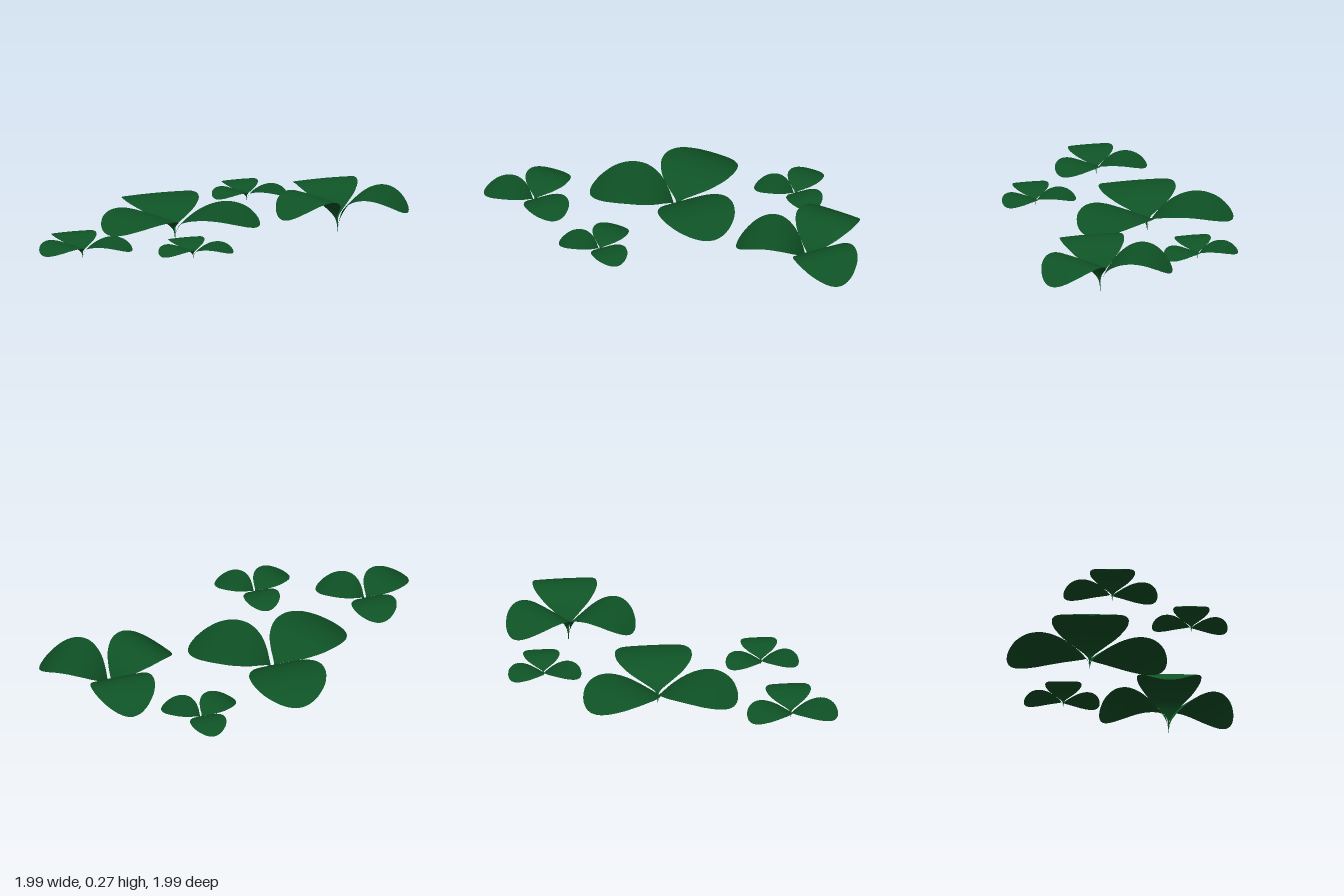
import * as THREE from 'three';

const green = new THREE.MeshStandardMaterial({ color: 0x0f5326, side: THREE.DoubleSide });

// Half outline of a unit leaf: x = distance from the stem, y = half width
const outline = new THREE.SplineCurve([
  [0, 0.004], [0.03, 0.016], [0.06, 0.065], [0.11, 0.16], [0.2, 0.29], [0.3, 0.375],
  [0.4, 0.425], [0.5, 0.442], [0.6, 0.438], [0.7, 0.41], [0.8, 0.357], [0.9, 0.26],
  [0.96, 0.165], [0.99, 0.08], [1, 0],
].map(([x, y]) => new THREE.Vector2(x, y)));

// Arch along the leaf: steep at the stem, crest at the middle, drooping tip
const arch = (u) => 1.75 * Math.sqrt(u) - 1.18 * Math.pow(u, 2.3);

// Round leaf running along +x, bent from a flat grid
function leafGeometry(length, rise) {
  const geo = new THREE.PlaneGeometry(1, 1, 56, 16);
  const pos = geo.attributes.position;
  for (let i = 0; i < pos.count; i++) {
    const p = outline.getPoint(THREE.MathUtils.clamp(pos.getX(i) + 0.5, 0, 1));
    const u = THREE.MathUtils.clamp(p.x, 0, 1);
    const v = -2 * pos.getY(i) * p.y;
    pos.setXYZ(i, u * length, rise * arch(u) - 0.06 * length * v * v, v * length);
  }
  geo.computeVertexNormals();
  return geo;
}

// Three leaves meeting at a point
function clover(name, x, y, z, length, rise) {
  const group = new THREE.Group();
  group.name = name;
  group.position.set(x, y, z);
  const geo = leafGeometry(length, rise);
  [['sideLeaf', 0], ['frontLeaf', -124], ['backLeaf', 124]].forEach(([part, deg]) => {
    const leaf = new THREE.Mesh(geo, green);
    leaf.name = part;
    leaf.rotation.y = THREE.MathUtils.degToRad(deg);
    group.add(leaf);
  });
  return group;
}

export function createModel() {
  const model = new THREE.Group();
  model.name = 'cloverPatch';
  model.add(
    clover('largeClover', -0.38, 0.02, -0.083, 0.54, 0.197),
    clover('tallClover', 0.54, 0, -0.55, 0.452, 0.272),
    clover('smallBackClover', -0.105, 0.095, -0.77, 0.255, 0.09),
    clover('mediumClover', -0.76, 0.08, 0.71, 0.317, 0.115),
    clover('smallFrontClover', -0.08, 0.095, 0.59, 0.255, 0.09),
  );
  return model;
}
